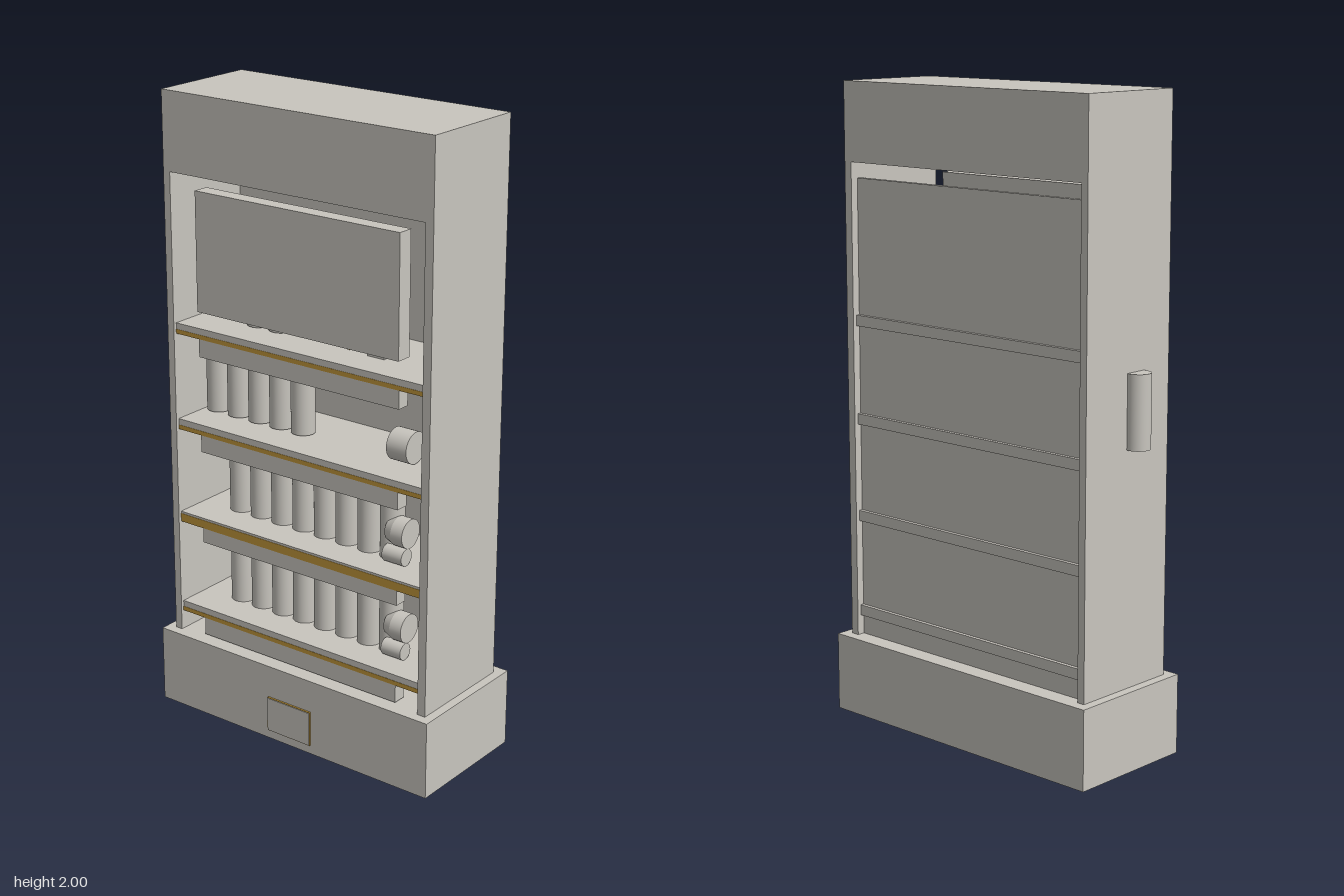
import * as THREE from 'three';

export function createModel() {
  const root = new THREE.Group();
  root.name = 'displayShelf';
  const grey = new THREE.MeshStandardMaterial({ color: 0xc8c5be });
  grey.name = 'warm grey';
  const gold = new THREE.MeshStandardMaterial({ color: 0xc0963a });
  gold.name = 'brass';

  const add = (name, geo, mat, x = 0, y = 0, z = 0) => {
    const m = new THREE.Mesh(geo, mat);
    m.name = name;
    m.position.set(x, y, z);
    root.add(m);
    return m;
  };
  // box given by its minimum and maximum corners
  const box = (name, [x0, y0, z0], [x1, y1, z1], mat = grey) =>
    add(name, new THREE.BoxGeometry(x1 - x0, y1 - y0, z1 - z0), mat,
      (x0 + x1) / 2, (y0 + y1) / 2, (z0 + z1) / 2);

  // plinth, side panels, header and recessed back
  box('plinth', [-0.515, 0, -0.22], [0.527, 0.25, 0.212]);
  box('sidePanelRight', [-0.485, 0.25, -0.185], [-0.46, 1.755, 0.18]);
  box('sidePanelLeft', [0.47, 0.25, -0.185], [0.498, 1.755, 0.18]);
  box('header', [-0.485, 1.755, -0.185], [0.498, 2, 0.18]);
  box('backPanel', [-0.46, 0.25, -0.16], [0.47, 1.705, -0.14]);

  // plaque on the plinth: brass plate with a grey face
  box('plaqueEdge', [-0.075, 0.03, 0.212], [0.092, 0.145, 0.218], gold);
  box('plaqueFace', [-0.073, 0.032, 0.218], [0.09, 0.143, 0.22]);

  // shelves with a brass front trim and a hanging rail board below
  const shelves = [
    { top: 0.347, trim: 0.014, rail: 0.255 },
    { top: 0.658, trim: 0.027, rail: 0.575 },
    { top: 0.97, trim: 0.014, rail: 0.88 },
    { top: 1.282, trim: 0.014, rail: 1.19 },
  ];
  for (const { top, trim, rail } of shelves) {
    const bottom = top - 0.034;
    box('shelf', [-0.46, bottom, -0.172], [0.47, top, 0.165]);
    box('shelfTrim', [-0.46, bottom, 0.165], [0.47, bottom + trim, 0.17], gold);
    box('shelfLip', [-0.46, bottom + trim, 0.165], [0.47, top, 0.169]);
    box('railBoard', [-0.37, rail, 0.125], [0.38, bottom, 0.168]);
  }

  // large sign board above the top shelf
  box('signBoard', [-0.37, 1.335, 0.12], [0.38, 1.71, 0.172]);

  // upright tubes standing in rows
  const tubeGeo = (r, h) => new THREE.CylinderGeometry(r, r, h, 32);
  const row = (count, x0, y, h = 0.225) => {
    for (let i = 0; i < count; i++)
      add('tube', tubeGeo(0.038, h), grey, x0 + i * 0.084, y + h / 2, 0.03);
  };
  row(8, -0.325, 0.347);
  row(8, -0.325, 0.658);
  row(6, -0.497, 0.975);
  row(2, -0.245, 1.285);

  // cans lying on their side
  const can = (r, len, x, y, z) => {
    add('lyingCan', tubeGeo(r, len), grey, x, y, z).rotation.z = Math.PI / 2;
  };
  can(0.05, 0.072, 0.308, 1.022, 0.03);
  can(0.038, 0.075, 0.008, 1.322, 0.03);
  for (const top of [0.347, 0.658]) {
    can(0.027, 0.072, 0.308, top + 0.027, 0.07);
    // upper can tapers towards its right end
    add('taperedCan', new THREE.CylinderGeometry(0.034, 0.046, 0.03, 32), grey,
      0.287, top + 0.097, 0.05).rotation.z = Math.PI / 2;
    can(0.046, 0.042, 0.323, top + 0.097, 0.05);
  }

  // small goods behind the sign
  add('brassBottle', tubeGeo(0.022, 0.15), gold, 0.112, 1.358, 0.03);
  box('smallCarton', [0.187, 1.282, 0], [0.247, 1.43, 0.06]);

  return root;
}
